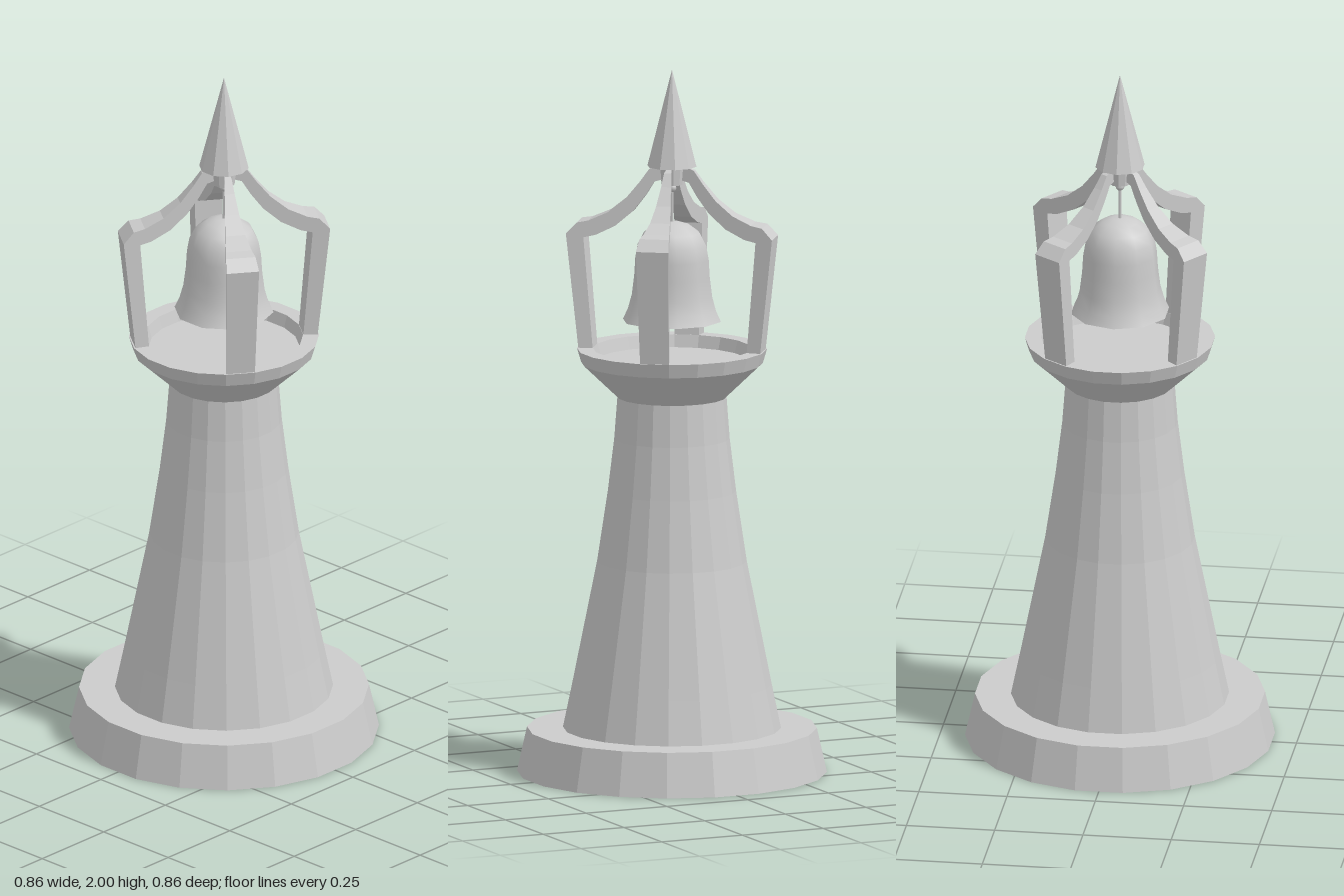
import * as THREE from 'three';

const flat = new THREE.MeshStandardMaterial({ color: 0xcccccc, flatShading: true });
const smooth = new THREE.MeshStandardMaterial({ color: 0xcccccc, side: THREE.DoubleSide });
const SIDES = 20;
const STEP = (Math.PI * 2) / SIDES;

const points = (list) => list.map(([r, y]) => new THREE.Vector2(r, y));

export function createModel() {
  const model = new THREE.Group();
  model.name = 'bellTower';

  const add = (name, geometry, material = flat, y = 0, parent = model) => {
    const mesh = new THREE.Mesh(geometry, material);
    mesh.name = name;
    mesh.position.y = y;
    parent.add(mesh);
    return mesh;
  };
  // Turned stone part whose facets face the axes
  const turned = (profile) => new THREE.LatheGeometry(points(profile), SIDES, STEP / 2);

  // Stone base, flared tower and hollow collar
  add('base', turned([[0, 0], [0.435, 0], [0.407, 0.125], [0, 0.125]]));
  add('tower', turned([
    [0.306, 0.125], [0.28, 0.25], [0.25, 0.4], [0.21, 0.6], [0.18, 0.8], [0.162, 0.95], [0.153, 1.07],
  ]));
  add('collar', turned([
    [0.15, 1.065], [0.255, 1.165], [0.267, 1.205], [0.222, 1.205], [0.212, 1.17], [0, 1.17],
  ]));

  // Four wedge-shaped arms: a side profile swept through one facet of the tower
  const armShape = new THREE.Shape(points([
    [0.222, 1.195], [0.262, 1.195], [0.298, 1.53], [0.268, 1.562], [0.235, 1.568],
    [0.18, 1.592], [0.13, 1.632], [0.09, 1.68], [0.065, 1.715], [0.03, 1.73],
    [0.03, 1.685], [0.05, 1.68], [0.075, 1.64], [0.11, 1.595], [0.16, 1.553],
    [0.215, 1.527], [0.249, 1.52],
  ]));
  const armGeometry = new THREE.ExtrudeGeometry(armShape, { depth: 1, bevelEnabled: false });
  const p = armGeometry.attributes.position;
  for (let i = 0; i < p.count; i++) {
    const r = p.getX(i);
    const angle = -3.5 * STEP + p.getZ(i) * STEP;
    p.setXYZ(i, r * Math.cos(angle), p.getY(i), r * Math.sin(angle));
  }
  armGeometry.computeVertexNormals();
  const arms = new THREE.Group();
  arms.name = 'arms';
  model.add(arms);
  for (let i = 0; i < 4; i++) {
    add('arm', armGeometry, flat, 0, arms).rotation.y = (i * Math.PI) / 2;
  }

  // Hub and pointed spire
  add('hub', new THREE.CylinderGeometry(0.035, 0.03, 0.055, 10), flat, 1.7);
  add('spire', new THREE.ConeGeometry(0.07, 0.275, 10), flat, 1.8625);

  // Hanging bell with rod, knob and clapper
  const bell = new THREE.Group();
  bell.name = 'bell';
  model.add(bell);
  add('bellShell', new THREE.LatheGeometry(points([
    [0.14, 1.285], [0.126, 1.315], [0.115, 1.355], [0.108, 1.41], [0.105, 1.46],
    [0.098, 1.5], [0.08, 1.535], [0.05, 1.557], [0.022, 1.566], [0, 1.567],
  ]), 10), smooth, 0, bell);
  add('rod', new THREE.CylinderGeometry(0.005, 0.005, 0.4, 6), smooth, 1.48, bell);
  add('knob', new THREE.SphereGeometry(0.013, 8, 6), smooth, 1.663, bell);
  add('clapper', new THREE.SphereGeometry(0.016, 8, 6), smooth, 1.285, bell);

  return model;
}
